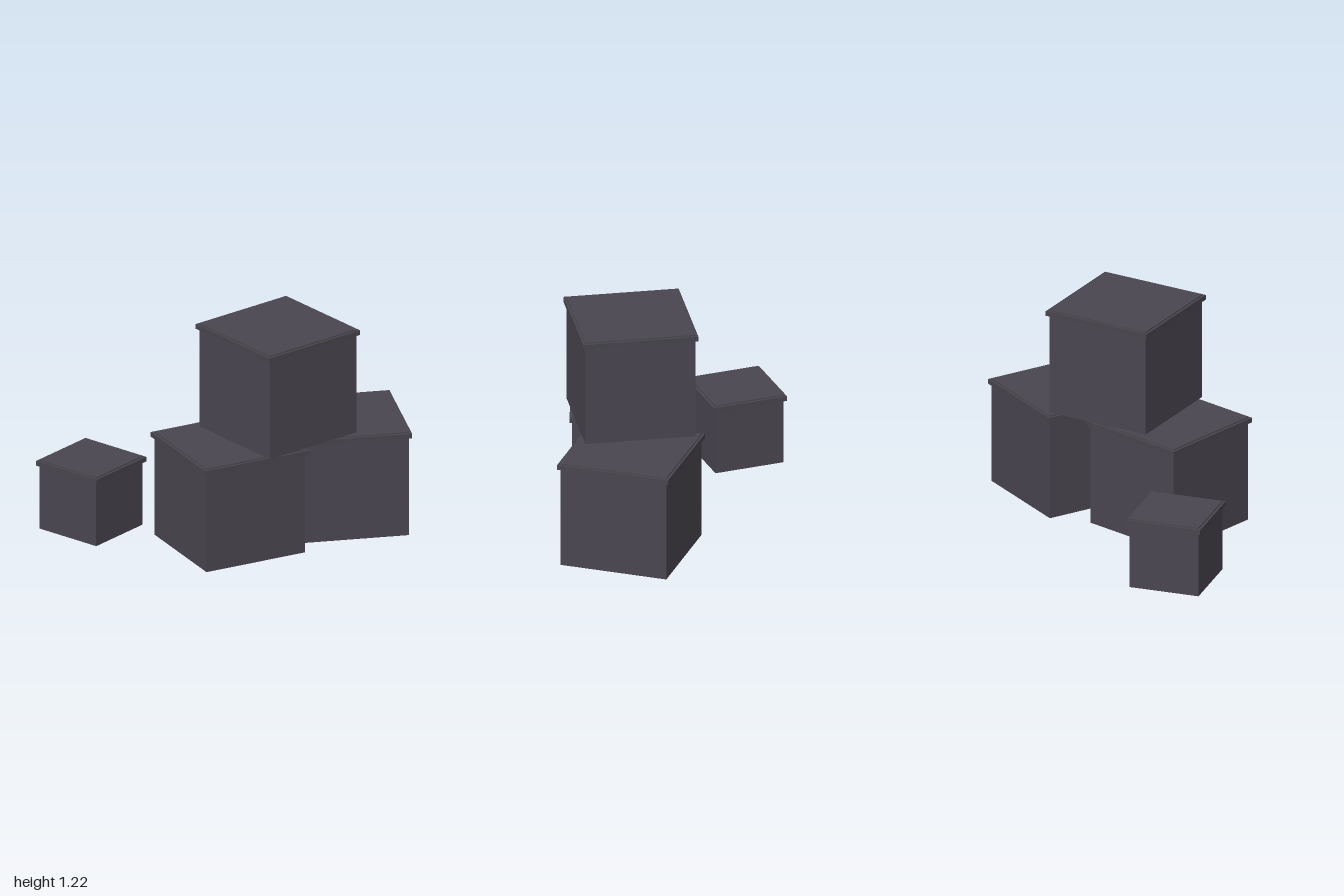
import * as THREE from 'three';

const bodyMat = new THREE.MeshStandardMaterial({ color: 0x4a4550, name: 'crate body' });
const lidMat = new THREE.MeshStandardMaterial({ color: 0x48454d, name: 'crate lid' });

function box(name, width, height, y, material) {
  const mesh = new THREE.Mesh(new THREE.BoxGeometry(width, height, width), material);
  mesh.name = name;
  mesh.position.y = y + height / 2;
  return mesh;
}

// A square crate with an overhanging lid rim; the body top stands just above the rim
function crate(name, { width, height, x, y = 0, z, turn }) {
  const group = new THREE.Group();
  group.name = name;
  const rim = 0.027, proud = 0.006;
  group.add(box('body', width, height, 0, bodyMat));
  group.add(box('lid', width + 0.03, rim, height - proud - rim, lidMat));
  group.position.set(x, y, z);
  group.rotation.y = turn;
  return group;
}

export function createModel() {
  const model = new THREE.Group();
  model.name = 'crateStack';
  const size = { width: 0.611, height: 0.611 };

  // Two crates on the ground, one stacked across them, a small one behind
  model.add(crate('rightCrate', { ...size, x: -0.092, z: 0.225, turn: 0.1 }));
  model.add(crate('leftCrate', { ...size, x: 0.62, z: 0.125, turn: -0.19 }));
  model.add(crate('topCrate', { ...size, x: 0.211, y: 0.611, z: 0.178, turn: 0.3 }));
  model.add(crate('smallCrate', { width: 0.4, height: 0.407, x: -0.705, z: -0.285, turn: 0.5 }));
  return model;
}
